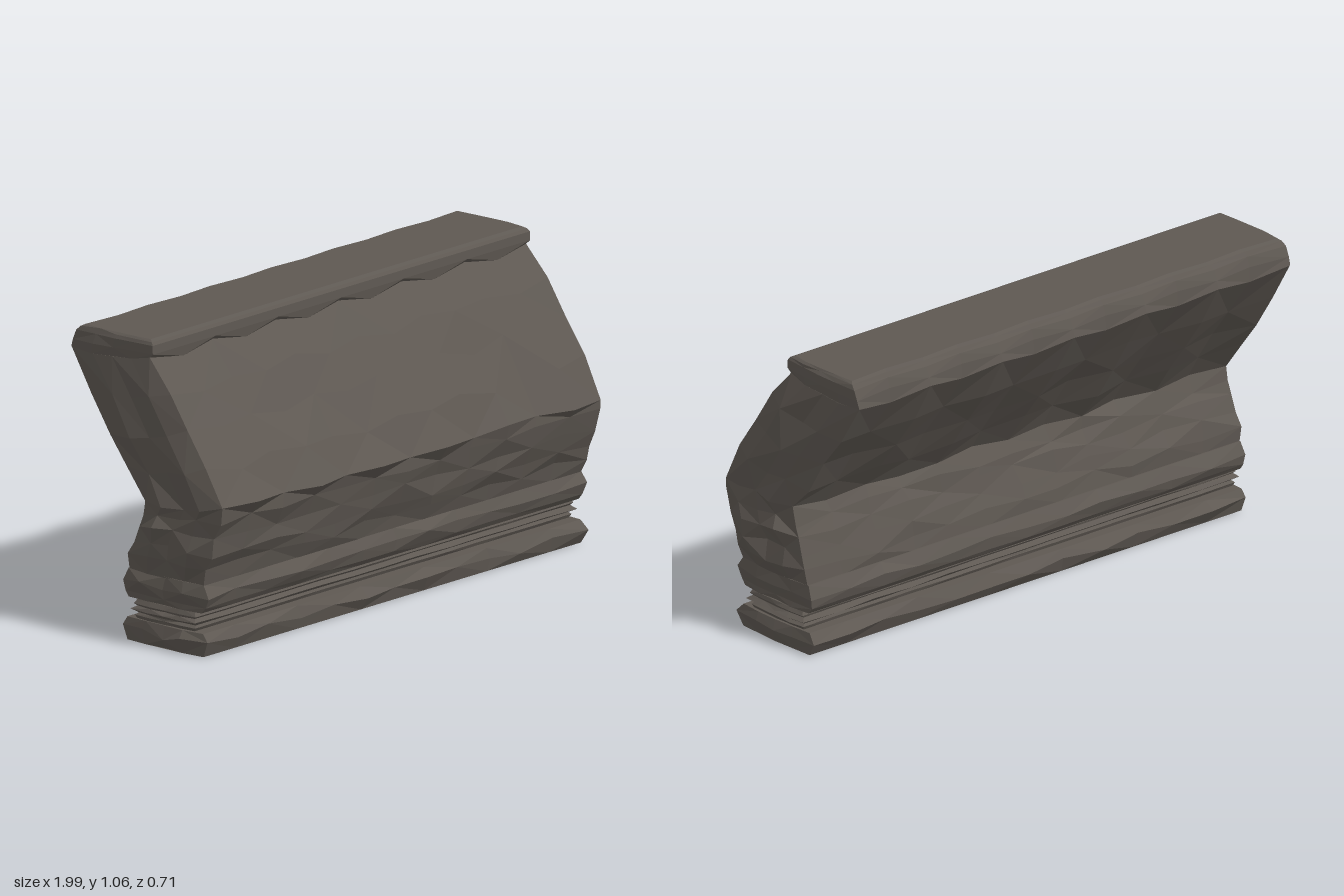
import * as THREE from 'three';

const COLS = 13;            // columns along the front and back faces
const SIDE = 3;             // inner points across each end
const N = 2 * (COLS + SIDE);
const material = new THREE.MeshStandardMaterial({ color: 0x5e5852, flatShading: true });

// Small seeded generator, returns -1..1
function seeded(seed) {
  let s = seed;
  return () => {
    s = (s * 16807) % 2147483647;
    return (s / 2147483647) * 2 - 1;
  };
}

// One closed cross-section: front edge (+x), right end, back edge (-x), left end
function ring(level, rand) {
  const { f, b, half = 0.955, bulge = 0.01, waveF = 0, waveB = 0, rise = 0, jz = 0, jy = 0 } = level;
  const points = [];
  const edge = ([y, z], i, wave) => {
    const sign = i % 2 ? 1 : -1;
    const x = -half + (2 * half * i) / (COLS - 1);
    const inner = i > 0 && i < COLS - 1;
    points.push([
      x + (inner ? rand() * jz : 0),
      y - sign * rise + rand() * jy,
      z + sign * wave + rand() * jz,
    ]);
  };
  const end = (t, side) => points.push([
    side * (half + bulge * (0.55 + 0.45 * rand())),
    THREE.MathUtils.lerp(f[0], b[0], t) + rand() * jy,
    THREE.MathUtils.lerp(f[1], b[1], t) + rand() * jz,
  ]);
  for (let i = 0; i < COLS; i++) edge(f, i, waveF);
  for (let k = 1; k <= SIDE; k++) end(k / (SIDE + 1), 1);
  for (let i = COLS - 1; i >= 0; i--) edge(b, i, waveB);
  for (let k = SIDE; k >= 1; k--) end(k / (SIDE + 1), -1);
  return points;
}

// Faceted block lofted through its cross-sections, closed at both ends
function block(name, levels, seed) {
  const rand = seeded(seed);
  const positions = levels.flatMap((l) => ring(l, rand)).flat();
  const index = [];
  for (let r = 0; r < levels.length - 1; r++) {
    for (let j = 0; j < N; j++) {
      const a = r * N + j, b = r * N + ((j + 1) % N), c = b + N, d = a + N;
      if ((r + j) % 2) index.push(a, b, c, a, c, d);
      else index.push(a, b, d, b, c, d);
    }
  }
  // Lids join each front point to the matching back point
  const last = (levels.length - 1) * N;
  const pair = 2 * COLS + SIDE - 1;
  for (let k = -2; k < COLS + 1; k++) {
    const a = (k + N) % N, b = (k + 1 + N) % N;
    const c = (pair - k - 1) % N, d = (pair - k) % N;
    for (const [p, q, s] of [[a, b, c], [a, c, d]]) {
      if (p === q || q === s || p === s) continue;
      index.push(last + p, last + q, last + s, p, s, q);
    }
  }
  const geometry = new THREE.BufferGeometry();
  geometry.setAttribute('position', new THREE.Float32BufferAttribute(positions, 3));
  geometry.setIndex(index);
  const flat = geometry.toNonIndexed();
  flat.computeVertexNormals();
  const mesh = new THREE.Mesh(flat, material);
  mesh.name = name;
  return mesh;
}

// Level with equal front and back height
const flatLevel = (y, zf, zb, extra = {}) => ({ f: [y, zf], b: [y, zb], ...extra });

export function createModel() {
  const group = new THREE.Group();
  group.name = 'leaningWallSection';

  // Chamfered foot
  group.add(block('basePlinth', [
    flatLevel(0, 0.24, -0.10),
    flatLevel(0.045, 0.258, -0.123, { half: 0.96, bulge: 0.025, jz: 0.012, jy: 0.012 }),
    flatLevel(0.08, 0.238, -0.10),
  ], 11));

  // Recessed neck with thin ridges
  group.add(block('ridgedNeck', [
    flatLevel(0.075, 0.19, -0.06, { half: 0.945 }),
    flatLevel(0.092, 0.20, -0.068, { half: 0.955, jz: 0.003 }),
    flatLevel(0.1, 0.193, -0.06, { half: 0.945, jz: 0.003 }),
    flatLevel(0.112, 0.213, -0.078, { half: 0.965, jz: 0.004, jy: 0.002 }),
    flatLevel(0.124, 0.197, -0.062, { half: 0.95, jz: 0.003 }),
    flatLevel(0.132, 0.205, -0.068, { half: 0.958, jz: 0.003 }),
    flatLevel(0.155, 0.19, -0.055, { half: 0.945 }),
  ], 23));

  // Upper chamfered band
  group.add(block('upperBand', [
    flatLevel(0.15, 0.23, -0.095),
    flatLevel(0.17, 0.245, -0.11, { jz: 0.004 }),
    flatLevel(0.21, 0.258, -0.123, { half: 0.96, bulge: 0.02, jz: 0.01, jy: 0.008 }),
    flatLevel(0.25, 0.24, -0.095),
  ], 37));

  // Rough lower wall leaning forward, then the wavy upper wall leaning back
  const rough = { half: 0.96, bulge: 0.03, jz: 0.011, jy: 0.014 };
  const wavy = { half: 0.955, bulge: 0.038, waveF: 0.008, waveB: 0.02, rise: 0.008, jz: 0.005, jy: 0.012 };
  group.add(block('bentWall', [
    { f: [0.245, 0.24], b: [0.245, -0.09] },
    { f: [0.30, 0.258], b: [0.30, -0.088], ...rough },
    { f: [0.35, 0.278], b: [0.355, -0.068], ...rough, bulge: 0.035 },
    { f: [0.41, 0.295], b: [0.41, -0.052], ...rough, bulge: 0.045 },
    { f: [0.47, 0.316], b: [0.455, -0.032], ...rough },
    { f: [0.52, 0.335], b: [0.505, -0.012], ...rough, waveF: 0.012, waveB: 0.006, jz: 0.006 },
    { f: [0.64, 0.265], b: [0.59, -0.078], ...wavy, half: 0.96 },
    { f: [0.76, 0.180], b: [0.70, -0.153], ...wavy },
    { f: [0.88, 0.098], b: [0.82, -0.245], ...wavy },
    { f: [0.985, 0.0], b: [0.96, -0.34], half: 0.952, waveF: 0.004, waveB: 0.012, rise: 0.012 },
  ], 59));

  // Bevelled coping along the top
  group.add(block('topCoping', [
    { f: [0.985, 0.004], b: [0.96, -0.341], half: 0.953, waveF: 0.004, waveB: 0.012, rise: 0.012 },
    { f: [1.01, 0.013], b: [1.0, -0.335], waveB: 0.009 },
    { f: [1.04, 0.012], b: [1.035, -0.322], waveB: 0.007 },
    { f: [1.05, 0.005], b: [1.05, -0.308], half: 0.95, waveB: 0.005 },
    { f: [1.057, -0.01], b: [1.057, -0.295], half: 0.94, waveB: 0.005 },
  ], 71));

  return group;
}
